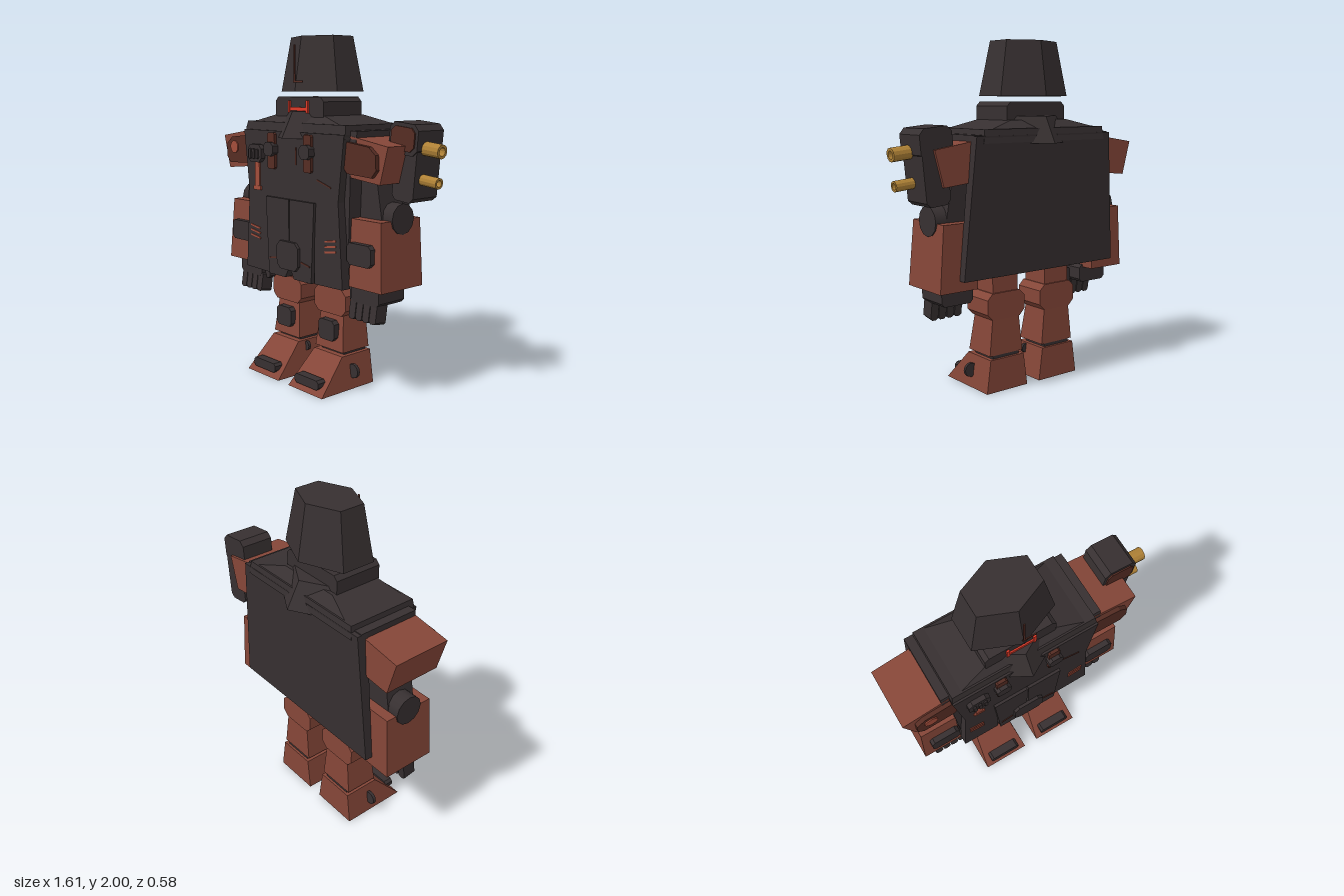
import * as THREE from 'three';

const mat = (name, color) => {
  const m = new THREE.MeshStandardMaterial({ color });
  m.name = name;
  return m;
};

export function createModel() {
  const dark = mat('charcoal', 0x373031);
  const red = mat('rust red', 0x854638);
  const brown = mat('dark rust', 0x552c23);
  const light = mat('light rust', 0xa34d3b);
  const gold = mat('brass', 0xb08236);
  const glow = mat('bright red', 0xe03a28);

  const model = new THREE.Group();
  model.name = 'robot';
  const body = new THREE.Group();
  body.name = 'body';
  body.position.x = -0.09;
  model.add(body);

  const add = (name, geo, m, parent = body) => {
    const mesh = new THREE.Mesh(geo, m);
    mesh.name = name;
    parent.add(mesh);
    return mesh;
  };
  // tapered block between two rectangles [x0, x1, z0, z1] at heights y0 and y1
  const block = (name, m, y0, bottom, y1, top, parent = body) => {
    const geo = new THREE.BoxGeometry(1, 1, 1);
    const p = geo.attributes.position;
    for (let i = 0; i < p.count; i++) {
      const up = p.getY(i) > 0, r = up ? top : bottom;
      const xs = [Math.min(r[0], r[1]), Math.max(r[0], r[1])];
      p.setXYZ(i, xs[p.getX(i) > 0 ? 1 : 0], up ? y1 : y0, p.getZ(i) > 0 ? r[3] : r[2]);
    }
    geo.computeVertexNormals();
    return add(name, geo, m, parent);
  };
  // flat outline in x, y pushed from z0 to z1
  const plate = (name, m, pts, z0, z1, parent = body) => {
    const shape = new THREE.Shape(pts.map(([x, y]) => new THREE.Vector2(x, y)));
    const geo = new THREE.ExtrudeGeometry(shape, { depth: z1 - z0, bevelEnabled: false });
    geo.translate(0, 0, z0);
    return add(name, geo, m, parent);
  };
  // rectangle with cut corners
  const oct = (cx, cy, w, h, c) => {
    const a = w / 2, b = h / 2;
    return [[-a + c, -b], [a - c, -b], [a, -b + c], [a, b - c], [a - c, b], [-a + c, b], [-a, b - c], [-a, -b + c]]
      .map(([x, y]) => [cx + x, cy + y]);
  };
  const hex = (name, rTop, rBottom, y0, y1, sx, z) => {
    const geo = new THREE.CylinderGeometry(rTop, rBottom, y1 - y0, 6).toNonIndexed();
    geo.scale(sx, 1, 1);
    geo.computeVertexNormals();
    add(name, geo, dark).position.set(0, (y0 + y1) / 2, z);
  };
  // thin painted line between two points
  const dash = (name, m, x0, y0, x1, y1, w, z) => {
    const geo = new THREE.BoxGeometry(Math.hypot(x1 - x0, y1 - y0), w, 0.006);
    const d = add(name, geo, m);
    d.position.set((x0 + x1) / 2, (y0 + y1) / 2, z);
    d.rotation.z = Math.atan2(y1 - y0, x1 - x0);
  };

  // hat, head and collar
  hex('hat', 0.152, 0.2025, 1.69, 2, 1.385, -0.013);
  dash('hatMark', brown, 0, 1.74, 0, 1.95, 0.01, 0.19);
  dash('hatMarkFoot', brown, -0.01, 1.745, 0.07, 1.745, 0.01, 0.19);
  plate('head', dark, oct(0, 1.595, 0.42, 0.13, 0.025), -0.13, 0.16);
  block('visorBar', glow, 1.582, [-0.085, 0.085, 0.15, 0.168], 1.602, [-0.085, 0.085, 0.15, 0.168]);
  for (const s of [1, -1]) {
    block('visorPost', glow, 1.57, [s * 0.07, s * 0.087, 0.15, 0.17], 1.64, [s * 0.07, s * 0.087, 0.15, 0.17]);
  }
  hex('collar', 0.21, 0.29, 1.43, 1.58, 1, -0.003);

  // torso and cloak
  block('torso', dark, 0.74, [-0.42, 0.42, -0.17, 0.17], 1.42, [-0.45, 0.45, -0.2, 0.18]);
  block('yoke', dark, 1.4, [-0.485, 0.485, -0.205, 0.18], 1.485, [-0.485, 0.485, -0.2, 0.17]);
  block('yokeStep', dark, 1.44, [-0.44, 0.44, -0.228, 0.215], 1.515, [-0.43, 0.43, -0.22, 0.2]);
  block('neckSlope', dark, 1.515, [-0.37, 0.37, -0.21, 0.19], 1.56, [-0.2, 0.2, -0.15, 0.15]);
  block('backCloak', dark, 0.7, [-0.55, 0.55, -0.195, -0.15], 1.48, [-0.485, 0.485, -0.225, -0.16]);
  plate('chestCloak', dark, [[-0.44, 1.465], [-0.395, 1.1], [-0.43, 0.625], [-0.2, 0.62], [-0.2, 1.08],
    [0.2, 1.08], [0.2, 0.62], [0.43, 0.625], [0.395, 1.1], [0.44, 1.465]], 0.165, 0.222);
  plate('pouch', dark, oct(0, 0.755, 0.19, 0.165, 0.03), 0.235, 0.256);

  for (const s of [1, -1]) {
    const pt = (list) => list.map(([x, y]) => [s * x, y]);
    // cloak panels and harness
    plate('skirtPanel', dark, pt([[0.215, 1.08], [0.004, 1.08], [0.004, 0.68], [0.04, 0.62], [0.19, 0.62]]), 0.17, 0.238);
    plate('strap', brown, oct(s * 0.16, 1.35, 0.066, 0.21, 0.01), 0.215, 0.24);
    plate('buckle', dark, oct(s * 0.16, 1.36, 0.085, 0.08, 0.02), 0.22, 0.262);
    for (let i = 0; i < 3; i++) {
      const y = 0.815 + i * 0.03;
      dash('stripe', light, s * 0.29, y, s * 0.38, y + 0.014, 0.01, 0.224);
    }
    dash('scratch', brown, s * 0.105, 0.73, s * 0.18, 0.715, 0.008, 0.24);

    // shoulder
    plate('shoulder', red, pt([[0.43, 1.46], [0.715, 1.415], [0.66, 1.215], [0.41, 1.24]]), -0.175, 0.175);
    plate('shoulderPlate', brown, pt([[0.42, 1.43], [0.6, 1.41], [0.65, 1.37], [0.655, 1.29], [0.62, 1.25],
      [0.44, 1.26], [0.41, 1.29]]), 0.175, 0.2);

    // arm
    block('upperArm', dark, 0.98, [s * 0.42, s * 0.6, -0.09, 0.09], 1.26, [s * 0.42, s * 0.55, -0.09, 0.09]);
    const elbow = add('elbow', new THREE.CylinderGeometry(0.085, 0.085, 0.2, 12).rotateZ(Math.PI / 2), dark);
    elbow.position.set(s * 0.56, 1.02, -0.005);
    block('forearm', red, 0.64, [s * 0.43, s * 0.675, -0.15, 0.172], 1.015, [s * 0.43, s * 0.65, -0.15, 0.155]);
    plate('cuffPlate', dark, oct(s * 0.525, 0.83, 0.18, 0.12, 0.02), 0.16, 0.195);

    // hand with four fingers and a thumb
    plate('palm', dark, oct(s * 0.51, 0.6, 0.21, 0.11, 0.02), -0.07, 0.13);
    for (let i = 0; i < 4; i++) {
      const f = plate('finger', dark, oct(0, 0, 0.048, 0.12, 0.012), -0.04, 0.04);
      f.position.set(s * (0.42 + i * 0.053), 0.505, 0.095);
      f.rotation.x = -0.15;
    }
    plate('thumb', dark, oct(s * 0.385, 0.58, 0.045, 0.09, 0.012), 0.02, 0.1);

    // leg
    const c = s * 0.193;
    block('thigh', red, 0.55, [c - 0.09, c + 0.09, -0.09, 0.09], 0.8, [c - 0.09, c + 0.09, -0.09, 0.09]);
    plate('knee', red, oct(c, 0.503, 0.265, 0.155, 0.035), -0.1, 0.1);
    block('shin', red, 0.215, [c - 0.118, c + 0.118, -0.1, 0.105], 0.43, [c - 0.095, c + 0.095, -0.095, 0.08]);
    plate('shinPad', dark, oct(c, 0.333, 0.135, 0.12, 0.02), 0.09, 0.128);
    block('ankle', dark, 0.18, [c - 0.095, c + 0.095, -0.095, 0.075], 0.225, [c - 0.095, c + 0.095, -0.095, 0.075]);
    block('foot', red, 0, [c - 0.147, c + 0.147, -0.112, 0.292], 0.195, [c - 0.12, c + 0.12, -0.11, 0.112]);
    plate('toeBar', dark, oct(c, 0.058, 0.205, 0.055, 0.015), 0.225, 0.28);
    for (const [dx, y, r] of [[0.15, 0.107, 0.042], [-0.125, 0.16, 0.028]]) {
      const knob = add('ankleKnob', new THREE.CylinderGeometry(r, r, 0.018, 12).rotateX(Math.PI / 2), dark);
      knob.position.set(c + s * dx, y, 0.05);
    }
  }

  // chest details on one side
  const badge = add('badge', new THREE.CylinderGeometry(0.038, 0.038, 0.008, 16).rotateX(Math.PI / 2), light);
  badge.position.set(-0.57, 1.35, 0.203);
  plate('chestPocket', dark, oct(-0.305, 1.328, 0.13, 0.105, 0.025), 0.22, 0.25);
  for (let i = 0; i < 3; i++) {
    plate('pocketRib', dark, oct(-0.337 + i * 0.032, 1.325, 0.02, 0.06, 0.006), 0.25, 0.262);
  }
  plate('chestTab', light, oct(-0.307, 1.195, 0.042, 0.16, 0.004), 0.22, 0.23);
  plate('chestTabFoot', light, oct(-0.307, 1.12, 0.07, 0.025, 0.004), 0.22, 0.232);
  dash('scratch', brown, 0.225, 1.21, 0.34, 1.175, 0.007, 0.223);
  dash('scratch', brown, 0.045, 1.28, 0.045, 1.38, 0.008, 0.223);

  // shoulder launcher with two barrels
  const launcher = new THREE.Group();
  launcher.name = 'launcher';
  launcher.position.set(0.6, 1.325, -0.06);
  launcher.rotation.z = -0.1;
  model.add(launcher);
  plate('launcherUpper', dark, oct(-0.01, 0.125, 0.2, 0.165, 0.03), -0.1, 0.098, launcher);
  plate('launcherLower', dark, oct(0.01, -0.04, 0.15, 0.33, 0.025), -0.1, 0.09, launcher);
  plate('launcherPanel', brown, oct(-0.01, 0.125, 0.165, 0.125, 0.025), 0.098, 0.106, launcher);
  for (const [y, r] of [[0.085, 0.038], [-0.08, 0.03]]) {
    const profile = [[r * 0.6, -0.02], [r * 0.6, 0.115], [r, 0.115], [r, -0.02]]
      .reverse().map(([x, h]) => new THREE.Vector2(x, h));
    const geo = new THREE.LatheGeometry(profile, 12).toNonIndexed();
    geo.computeVertexNormals();
    geo.rotateZ(-Math.PI / 2);
    add('barrel', geo, gold, launcher).position.set(0.082, y, 0.025);
    const core = new THREE.CylinderGeometry(r * 0.6, r * 0.6, 0.09, 12).rotateZ(-Math.PI / 2);
    add('barrelCore', core, dark, launcher).position.set(0.1, y, 0.025);
  }
  return model;
}
